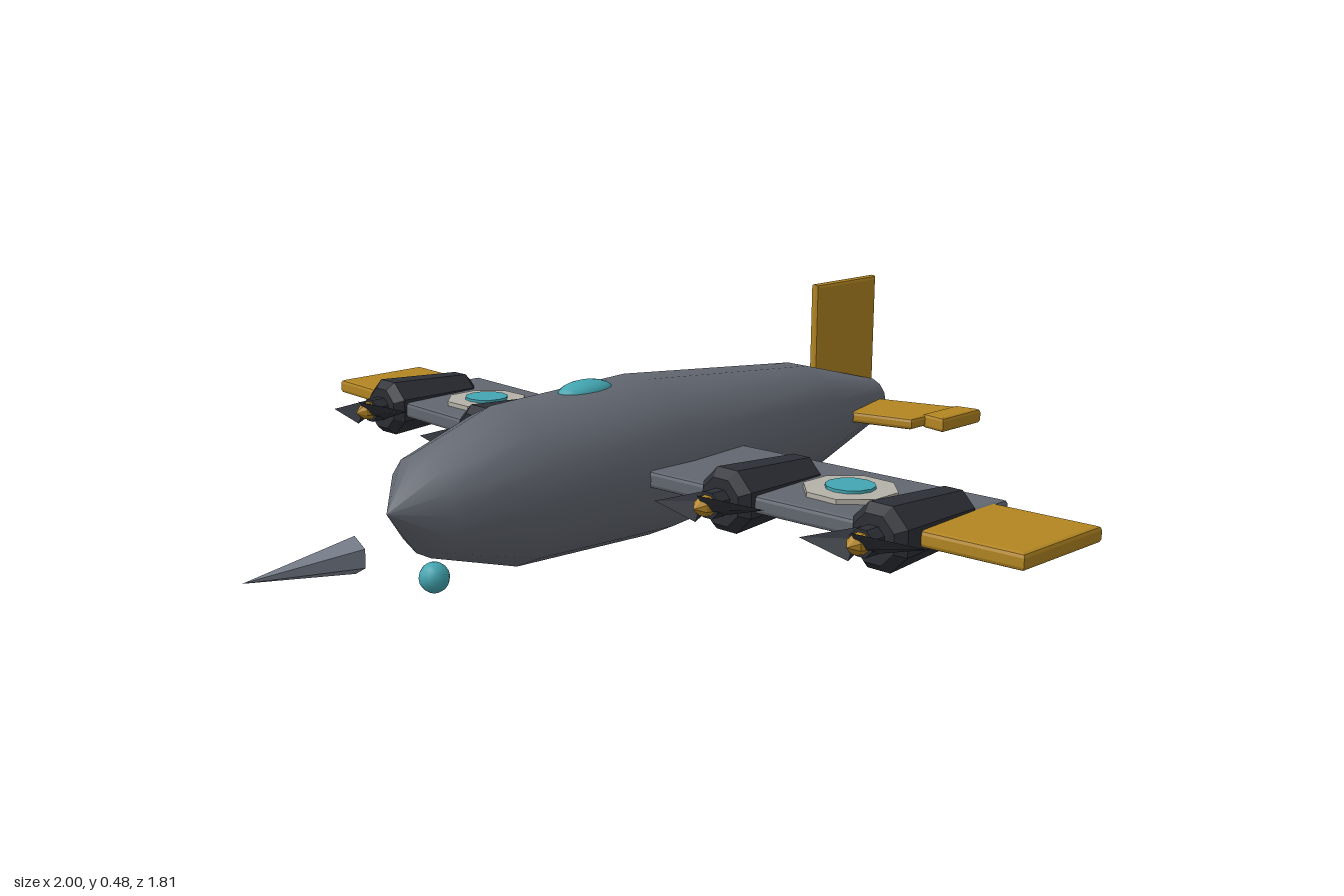
import * as THREE from 'three';

const mat = (color, flatShading = false) => new THREE.MeshStandardMaterial({ color, flatShading });
const hullGrey = mat(0x626770), wingGrey = mat(0x626770, true), dark = mat(0x2c2f36, true);
const gold = mat(0xb28522, true), teal = mat(0x43a6b2), pale = mat(0xb5b2a8, true);
const black = mat(0x241c1a, true), steel = mat(0x7d8492, true);
const AXIS_Y = 0.183;

function add(parent, name, geometry, material, x = 0, y = 0, z = 0) {
  const mesh = new THREE.Mesh(geometry, material);
  mesh.name = name;
  mesh.position.set(x, y, z);
  parent.add(mesh);
  return mesh;
}

// Body of revolution along z; profile is [z, radius] from back to front
function turned(profile, sides) {
  const pts = profile.map(([z, r]) => new THREE.Vector2(r, z));
  return new THREE.LatheGeometry(pts, sides, Math.PI / sides).rotateX(Math.PI / 2);
}

// Horizontal bevelled plate from an [x, z] outline, centred on y = 0
function plate(outline, thickness, bevel = 0.008) {
  const shape = new THREE.Shape(outline.map(([x, z]) => new THREE.Vector2(x, -z)));
  const depth = thickness - 2 * bevel;
  return new THREE.ExtrudeGeometry(shape, {
    depth, bevelEnabled: true, bevelThickness: bevel, bevelSize: bevel, bevelOffset: -bevel, bevelSegments: 2,
  }).translate(0, 0, -depth / 2).rotateX(-Math.PI / 2);
}

function makeEngine() {
  const engine = new THREE.Group();
  engine.name = 'engine';
  add(engine, 'nacelle', turned([[-0.14, 0], [-0.14, 0.03], [-0.115, 0.054], [0.105, 0.068],
    [0.125, 0.05], [0.125, 0]], 8), dark);
  add(engine, 'propellerShaft', turned([[0.12, 0.028], [0.16, 0.028], [0.16, 0]], 8), dark);
  add(engine, 'spinner', turned([[0.155, 0.022], [0.18, 0.018], [0.2, 0]], 8), gold);

  // Two flat, pitched, pointed blades
  const propeller = new THREE.Group();
  propeller.name = 'propeller';
  propeller.position.z = 0.16;
  propeller.rotation.z = 0.14;
  for (const turn of [0, Math.PI]) {
    const blade = new THREE.ConeGeometry(0.042, 0.14, 4).scale(1, 1, 0.3)
      .rotateZ(-Math.PI / 2).rotateX(0.9).translate(0.075, 0, 0);
    add(propeller, 'blade', blade, dark).rotation.z = turn;
  }
  engine.add(propeller);
  return engine;
}

export function createModel() {
  const model = new THREE.Group();
  model.name = 'aircraft';

  // Fuselage and its fittings
  add(model, 'fuselage', turned([[-0.87, 0.052], [-0.6, 0.126], [-0.08, 0.174], [0.29, 0.163],
    [0.495, 0.102], [0.58, 0]], 14), hullGrey, 0, AXIS_Y);
  add(model, 'tailCap', turned([[-0.897, 0], [-0.885, 0.035], [-0.865, 0.054]], 14), gold, 0, AXIS_Y);
  add(model, 'canopy', new THREE.SphereGeometry(1, 16, 10).scale(0.04, 0.025, 0.07), teal, 0, 0.342, 0.068);
  add(model, 'chinBall', new THREE.SphereGeometry(0.031, 12, 8), teal, 0, 0.034, 0.47);
  add(model, 'noseSpike', new THREE.ConeGeometry(0.037, 0.245, 6).rotateX(Math.PI / 2), steel, 0, 0.12, 0.777);

  // Upright tail fin
  add(model, 'tailFin', plate([[0.19, -0.87], [0.485, -0.87], [0.485, -0.655], [0.19, -0.655]], 0.022)
    .rotateZ(Math.PI / 2), gold);

  for (const s of [1, -1]) {
    const side = (outline) => outline.map(([x, z]) => [x * s, z]);

    // Wing, wing tip and tailplane
    add(model, 'wing', plate(side([[0.1, 0.05], [0.785, 0.012], [0.785, -0.297], [0.1, -0.253]]), 0.036),
      wingGrey, 0, AXIS_Y);
    add(model, 'wingTip', plate(side([[0.77, -0.015], [1, -0.03], [1, -0.278], [0.77, -0.265]]), 0.033),
      gold, 0, AXIS_Y);
    add(model, 'tailplane', plate(side([[0.03, -0.665], [0.24, -0.722], [0.24, -0.907], [0.03, -0.84]]), 0.026),
      gold, 0, AXIS_Y);
    add(model, 'tailplaneTip', plate(side([[0.232, -0.775], [0.296, -0.765], [0.296, -0.91], [0.232, -0.9]]), 0.034),
      gold, 0, AXIS_Y);

    // Disc marking on the wing
    add(model, 'wingDisc', new THREE.CylinderGeometry(0.095, 0.095, 0.014, 8).rotateY(Math.PI / 8),
      pale, s * 0.545, 0.204, -0.122);
    add(model, 'wingDiscCentre', new THREE.CylinderGeometry(0.05, 0.05, 0.014, 12),
      teal, s * 0.545, 0.21, -0.122);

    // Engines
    for (const [x, z] of [[0.375, -0.062], [0.732, -0.08]]) {
      const engine = makeEngine();
      engine.position.set(s * x, AXIS_Y, z);
      model.add(engine);
    }
  }

  // Pair of slanted rods under one wing
  for (const dz of [0, 0.14]) {
    const outer = new THREE.Vector3(-0.49, 0.12, -0.35 + dz);
    const inner = new THREE.Vector3(-0.08, 0.155, -0.408 + dz);
    const axis = inner.clone().sub(outer);
    const rod = add(model, 'rod', new THREE.CylinderGeometry(0.035, 0.035, axis.length(), 8), black);
    rod.position.copy(outer).addScaledVector(axis, 0.5);
    rod.quaternion.setFromUnitVectors(new THREE.Vector3(0, 1, 0), axis.normalize());
  }

  return model;
}
